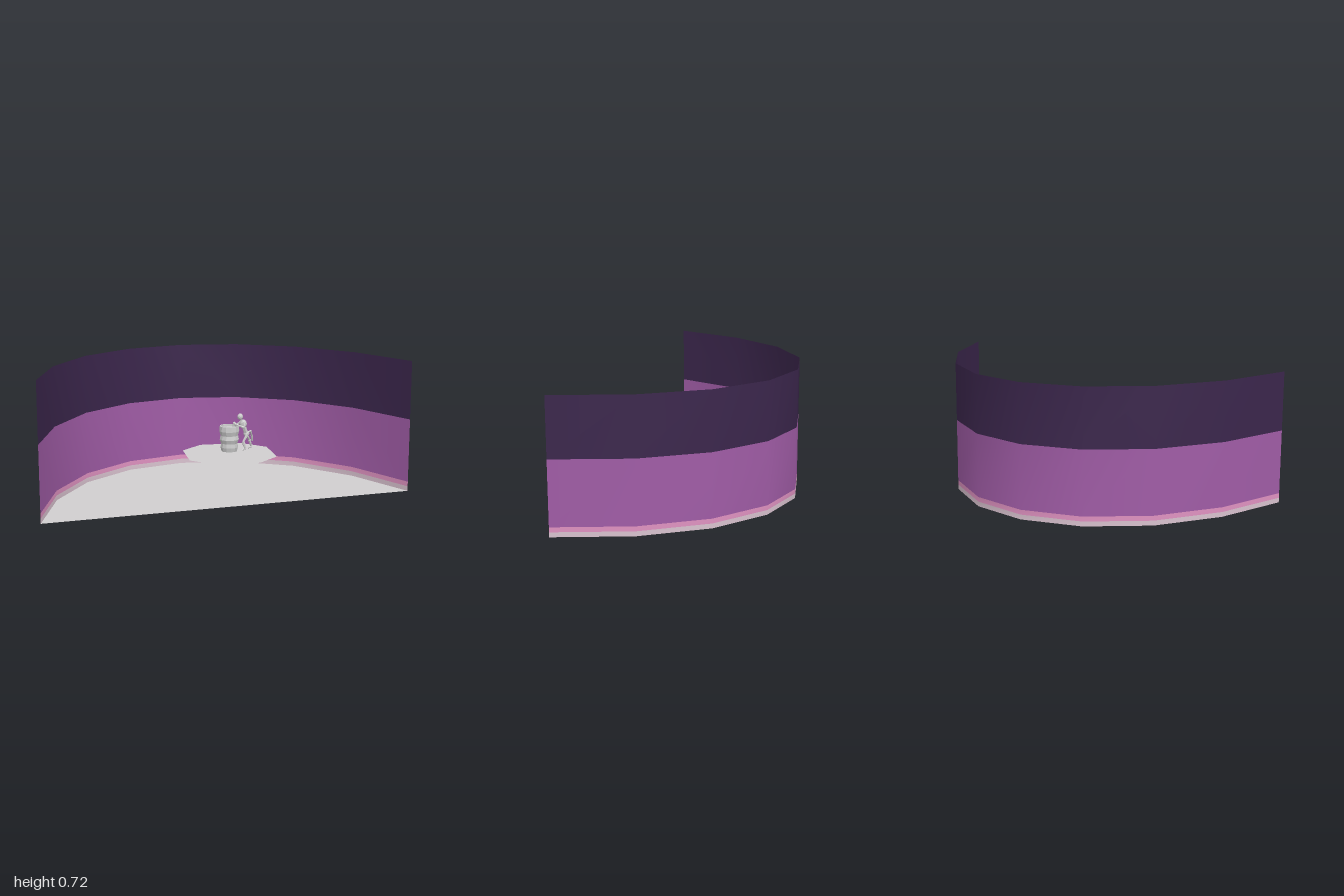
import * as THREE from 'three';

const paint = (name, color) => {
  const m = new THREE.MeshStandardMaterial({ color, side: THREE.DoubleSide });
  m.name = name;
  return m;
};

export function createModel() {
  const group = new THREE.Group();
  const night = paint('dark violet', 0x3b264c);
  const purple = paint('purple', 0xa05ca6);
  const pink = paint('pink', 0xe092c1);
  const pale = paint('pale pink', 0xd9c2cf);
  const stone = paint('light grey', 0xd0cecf);
  const clay = paint('grey', 0xcbcbcb);
  clay.flatShading = true;

  const add = (name, geometry, material, parent = group) => {
    const mesh = new THREE.Mesh(geometry, material);
    mesh.name = name;
    parent.add(mesh);
    return mesh;
  };

  // Flat horizontal plate from [x, z] corners
  const plate = (corners, y) => {
    const shape = new THREE.Shape(corners.map(([x, z]) => new THREE.Vector2(x, -z)));
    return new THREE.ShapeGeometry(shape).rotateX(-Math.PI / 2).translate(0, y, 0);
  };

  // Curved backdrop, seen from above as [x, z]
  const arc = [[-1, 0.555], [-0.9, 0.135], [-0.71, -0.21], [-0.44, -0.45], [-0.12, -0.56],
    [0.21, -0.53], [0.53, -0.36], [0.8, -0.07], [1, 0.31]];

  const ribbon = (y0, y1) => {
    const positions = [], index = [];
    arc.forEach(([x, z], i) => {
      positions.push(x, y0, z, x, y1, z);
      if (i < arc.length - 1) {
        const a = i * 2;
        index.push(a, a + 2, a + 1, a + 1, a + 2, a + 3);
      }
    });
    const g = new THREE.BufferGeometry();
    g.setAttribute('position', new THREE.Float32BufferAttribute(positions, 3));
    g.setIndex(index);
    g.computeVertexNormals();
    return g;
  };

  add('wallBase', ribbon(0, 0.026), pale);
  add('wallTrim', ribbon(0.026, 0.052), pink);
  add('wallLower', ribbon(0.052, 0.4), purple);
  add('wallUpper', ribbon(0.4, 0.72), night);
  add('floor', plate(arc, 0), stone);

  // Raised octagonal platform
  const cx = 0.05, cz = 0.067;
  const octagon = [[-0.12, -0.24], [0.12, -0.24], [0.24, -0.12], [0.24, 0.12],
    [0.12, 0.24], [-0.12, 0.24], [-0.24, 0.12], [-0.24, -0.12]];
  add('platform', plate(octagon.map(([x, z]) => [x + cx, z + cz]), 0.197), stone);

  // Barrel with three bulging rows
  const profile = [[0, 0], [0.044, 0], [0.049, 0.022], [0.046, 0.044], [0.054, 0.066],
    [0.049, 0.088], [0.056, 0.112], [0.054, 0.14], [0.047, 0.14], [0.046, 0.128], [0, 0.128]];
  const barrel = add('barrel', new THREE.LatheGeometry(
    profile.map(([x, y]) => new THREE.Vector2(x, y)), 12), clay);
  barrel.position.set(cx, 0.213, cz);

  // Small slender figure leaning on the barrel
  const figure = new THREE.Group();
  figure.name = 'figure';
  group.add(figure);

  const limb = (name, points, r0, r1) => {
    const p = points.map((v) => new THREE.Vector3(...v));
    for (let i = 0; i < p.length - 1; i++) {
      const dir = p[i + 1].clone().sub(p[i]);
      const m = add(name, new THREE.CylinderGeometry(r1, r0, dir.length(), 6), clay, figure);
      m.position.copy(p[i]).addScaledVector(dir, 0.5);
      m.quaternion.setFromUnitVectors(new THREE.Vector3(0, 1, 0), dir.normalize());
    }
  };
  const ball = (name, at, r, scale = [1, 1, 1]) => {
    const m = add(name, new THREE.IcosahedronGeometry(r, 1), clay, figure);
    m.position.set(...at);
    m.scale.set(...scale);
  };

  ball('head', [0.112, 0.4, 0.06], 0.016, [1, 1.15, 1]);
  limb('neck', [[0.12, 0.375, 0.06], [0.113, 0.395, 0.06]], 0.006, 0.006);
  ball('chest', [0.13, 0.358, 0.056], 0.021, [1, 1.2, 1.1]);
  limb('waist', [[0.15, 0.3, 0.048], [0.134, 0.345, 0.055]], 0.013, 0.012);
  ball('hips', [0.15, 0.3, 0.048], 0.017);
  for (const side of [-1, 1]) {
    const z = (d) => 0.055 + side * d;
    limb('arm', [[0.127, 0.372, z(0.02)], [0.112 + side * 0.02, 0.342, z(0.03)],
      [0.085, 0.36, z(0.015)]], 0.006, 0.005);
    ball('hand', [0.083, 0.361, z(0.015)], 0.008);
    // The near leg is tucked in while the far leg trails behind
    const out = side < 0 ? 0.182 : 0.138;
    limb('leg', [[0.151, 0.298, z(0.01)], [out - 0.012, 0.262, z(0.02)],
      [out, 0.224, z(0.026)]], 0.009, 0.006);
    limb('foot', [[out, 0.222, z(0.026)], [out - 0.018, 0.217, z(0.024)]], 0.006, 0.005);
  }
  // Drooping tail behind the hips
  limb('tail', [[0.156, 0.305, 0.046], [0.178, 0.312, 0.03], [0.188, 0.28, 0.015],
    [0.193, 0.25, 0.005]], 0.006, 0.005);

  return group;
}
